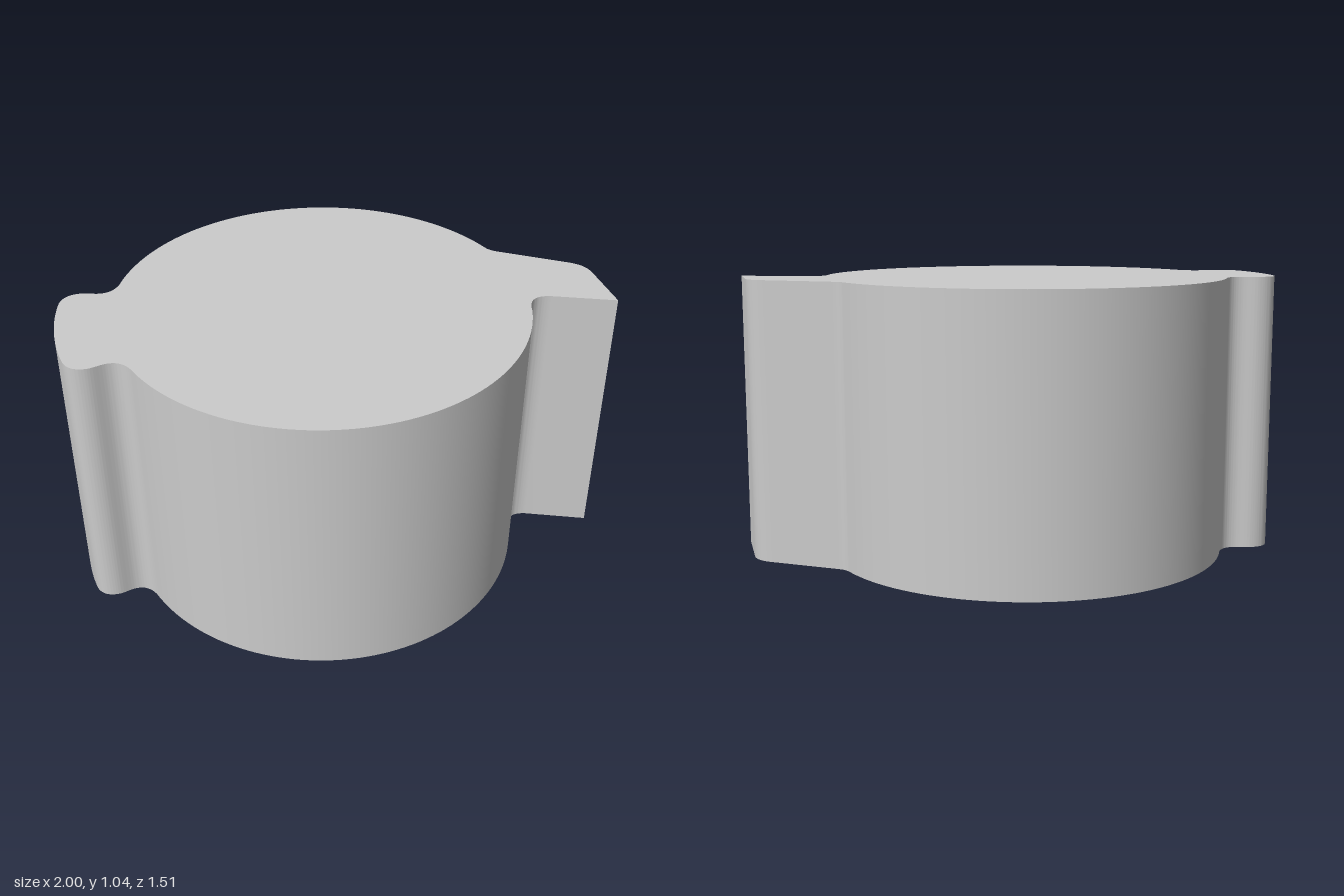
import * as THREE from 'three';
import { toCreasedNormals } from 'three/addons/utils/BufferGeometryUtils.js';

const HEIGHT = 1.04, CX = -0.055, R = 0.756;

// Outline in plan; shape y is -z
function bodyOutline() {
  const s = new THREE.Shape();
  const onCircle = (y, side) => [CX + side * Math.sqrt(R * R - y * y), y];
  const angle = ([x, y]) => Math.atan2(y, x - CX);

  // pointed fin on the left (+x)
  s.moveTo(1, -0.2);
  s.lineTo(0.983, 0.01);
  s.bezierCurveTo(0.978, 0.055, 0.96, 0.078, 0.92, 0.102);
  s.lineTo(0.685, 0.238);
  const a = onCircle(0.275, 1);
  s.quadraticCurveTo(0.66, 0.252, ...a);

  // back half of the drum
  const b = onCircle(0.285, -1);
  s.absarc(CX, 0, R, angle(a), angle(b), false);

  // rounded lug on the right (-x)
  s.bezierCurveTo(-0.775, 0.25, -0.8, 0.228, -0.845, 0.238);
  s.bezierCurveTo(-0.875, 0.246, -0.885, 0.252, -0.91, 0.25);
  s.bezierCurveTo(-0.95, 0.247, -0.972, 0.222, -0.98, 0.185);
  s.bezierCurveTo(-1.0067, 0.07, -1.0067, -0.07, -0.98, -0.185);
  s.bezierCurveTo(-0.972, -0.222, -0.95, -0.245, -0.91, -0.247);
  s.bezierCurveTo(-0.885, -0.248, -0.875, -0.24, -0.845, -0.232);
  const c = onCircle(-0.28, -1);
  s.bezierCurveTo(-0.8, -0.222, -0.775, -0.245, ...c);

  // front half of the drum and the hollow under the fin
  const d = onCircle(-0.2, 1);
  s.absarc(CX, 0, R, angle(c), angle(d), false);
  s.bezierCurveTo(0.684, -0.135, 0.715, -0.104, 0.775, -0.122);
  s.lineTo(1, -0.2);
  return s;
}

export function createModel() {
  const group = new THREE.Group();
  const extruded = new THREE.ExtrudeGeometry(bodyOutline(), {
    depth: HEIGHT, bevelEnabled: false, curveSegments: 32,
  });
  extruded.rotateX(-Math.PI / 2);
  const body = new THREE.Mesh(
    toCreasedNormals(extruded, 0.45),
    new THREE.MeshStandardMaterial({ color: 0xcccccc }),
  );
  body.name = 'drumWithLugAndFin';
  group.add(body);
  return group;
}
